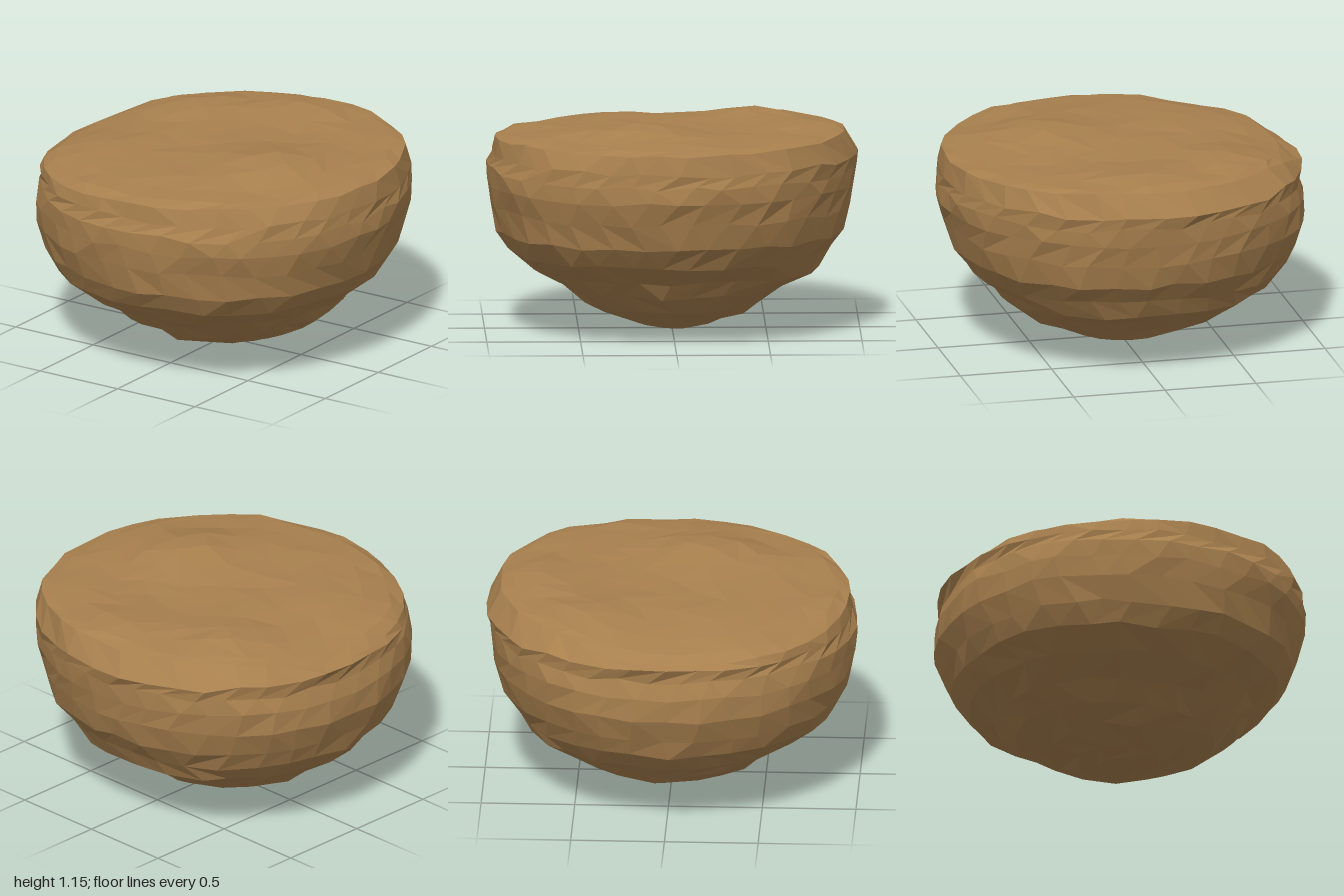
import * as THREE from 'three';

const FACET = 0.17; // width of one facet
// Heights of the side rings, and their radii towards +x, +z, -x and -z
const HEIGHTS = [0.01, 0.04, 0.09, 0.16, 0.25, 0.34, 0.44, 0.55, 0.68, 0.80, 0.89, 0.96];
const RADII = [
  [0.10, 0.22, 0.36, 0.51, 0.64, 0.70, 0.83, 0.91, 0.95, 0.98, 0.98, 0.97],
  [0.12, 0.20, 0.37, 0.48, 0.58, 0.75, 0.88, 0.94, 0.97, 0.99, 0.99, 0.96],
  [0.12, 0.22, 0.37, 0.56, 0.67, 0.80, 0.89, 0.93, 0.98, 0.98, 0.95, 0.96],
  [0.10, 0.24, 0.39, 0.47, 0.61, 0.78, 0.84, 0.92, 0.95, 0.97, 0.98, 0.99],
];
// Rim radius and height in eight directions, from +x by way of +z
const RIM_RADIUS = [0.95, 0.95, 0.94, 0.96, 0.93, 0.89, 0.92, 0.97];
const RIM_HEIGHT = [1.06, 1.06, 1.04, 1.00, 0.98, 1.06, 1.08, 1.08];
const TOP_RINGS = [0.93, 0.78, 0.60, 0.42, 0.22];
// Swellings and hollows of the top: x, z, height, spread
const SWELLINGS = [
  [0.42, 0.20, 0.07, 0.08],
  [-0.52, -0.50, 0.045, 0.06],
  [0.05, -0.76, 0.055, 0.05],
  [0.66, 0.50, -0.04, 0.04],
  [-0.80, 0.00, -0.03, 0.06],
];

// Smooth blend through values spaced evenly around the circle
function around(values, angle) {
  const n = values.length;
  const t = ((angle / (2 * Math.PI)) % 1 + 1) % 1 * n;
  const i = Math.floor(t) % n;
  const f = t - Math.floor(t);
  return THREE.MathUtils.lerp(values[i], values[(i + 1) % n], f * f * (3 - 2 * f));
}

function topHeight(x, z) {
  return SWELLINGS.reduce((y, [cx, cz, h, spread]) =>
    y + h * Math.exp(-((x - cx) ** 2 + (z - cz) ** 2) / spread), 1.09);
}

function seeded(seed) {
  return () => {
    seed = (seed * 16807) % 2147483647;
    return (seed / 2147483647) * 2 - 1;
  };
}

function rockGeometry() {
  const jitter = seeded(4711);
  const positions = [-0.03, 0, 0];
  const index = [];
  const rings = [{ start: 0, count: 1 }];

  // Wide rings get more corners, and every other ring is turned half a step
  function addRing(size, radiusAt, heightAt, roughR, roughY) {
    const count = Math.max(6, Math.round((2 * Math.PI * size) / FACET));
    const turn = (rings.length % 2) * 0.5;
    rings.push({ start: positions.length / 3, count });
    for (let j = 0; j < count; j++) {
      const a = ((j + turn + jitter() * 0.18) / count) * Math.PI * 2;
      const r = radiusAt(a) + jitter() * roughR;
      const x = Math.cos(a) * r, z = Math.sin(a) * r;
      positions.push(x, heightAt(a, x, z) + jitter() * roughY, z);
    }
  }

  // Rounded underside and sides, a little fuller on the diagonals
  HEIGHTS.forEach((y, k) => {
    const radii = RADII.map((p) => p[k]);
    addRing(radii[0], (a) => around(radii, a) * (1 + 0.02 * Math.sin(2 * a) ** 2), () => y,
      0.009, k < 2 ? 0.004 : 0.014);
  });

  // Uneven rim
  addRing(0.95, (a) => around(RIM_RADIUS, a), (a) => around(RIM_HEIGHT, a), 0.009, 0.01);

  // Gently rolling top
  for (const s of TOP_RINGS) {
    addRing(s * 0.95, (a) => around(RIM_RADIUS, a) * s,
      (a, x, z) => THREE.MathUtils.lerp(topHeight(x, z), around(RIM_HEIGHT, a) + 0.01, s ** 5),
      0.015, 0.006);
  }
  rings.push({ start: positions.length / 3, count: 1 });
  positions.push(0, topHeight(0, 0), 0);

  // Faces: zip each ring to the next, whatever their corner counts
  for (let k = 0; k < rings.length - 1; k++) {
    const lo = rings[k], hi = rings[k + 1];
    const at = (ring, i) => ring.start + (i % ring.count);
    let i = 0, j = 0;
    while (i < lo.count || j < hi.count) {
      const a = at(lo, i), b = at(hi, j);
      if (j === hi.count || (i < lo.count && (i + 1) / lo.count <= (j + 1) / hi.count)) {
        if (lo.count > 1) index.push(a, b, at(lo, i + 1));
        i++;
      } else {
        if (hi.count > 1) index.push(a, b, at(hi, j + 1));
        j++;
      }
    }
  }

  const indexed = new THREE.BufferGeometry();
  indexed.setAttribute('position', new THREE.Float32BufferAttribute(positions, 3));
  indexed.setIndex(index);
  const geometry = indexed.toNonIndexed();
  geometry.computeVertexNormals();
  return geometry;
}

export function createModel() {
  const group = new THREE.Group();
  group.name = 'boulder';
  const rock = new THREE.Mesh(
    rockGeometry(),
    new THREE.MeshStandardMaterial({ color: 0xa8804e, flatShading: true }),
  );
  rock.name = 'rock';
  group.add(rock);
  return group;
}
